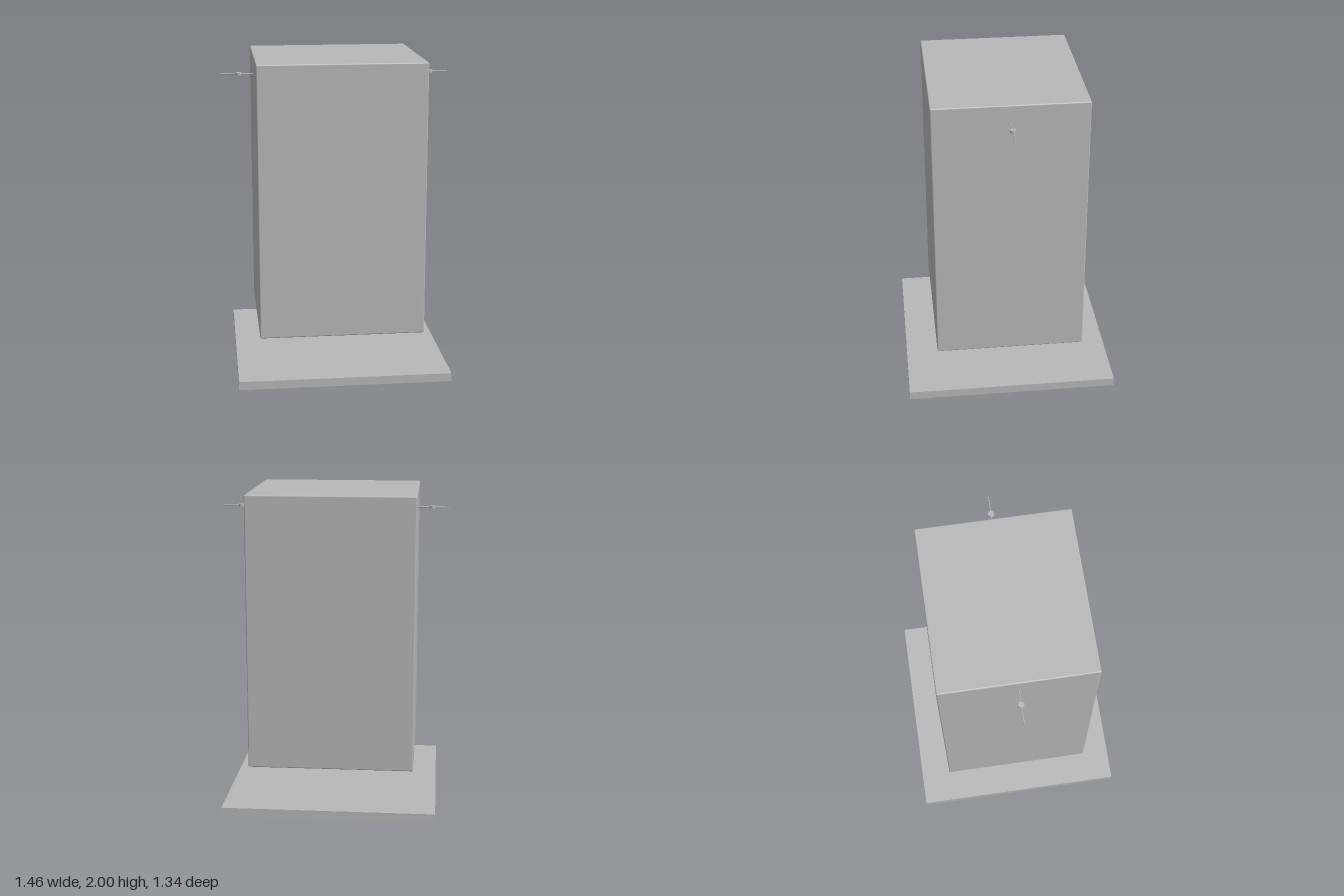
import * as THREE from 'three';
import { RoundedBoxGeometry } from 'three/addons/geometries/RoundedBoxGeometry.js';

export function createModel() {
  const model = new THREE.Group();
  model.name = 'boxOverPlate';
  const grey = new THREE.MeshStandardMaterial({ color: 0xb8b8b8 });
  grey.name = 'neutral grey';

  const add = (parent, name, geometry, x, y, z) => {
    const mesh = new THREE.Mesh(geometry, grey);
    mesh.name = name;
    mesh.position.set(x, y, z);
    parent.add(mesh);
    return mesh;
  };

  // Flat square plate on the ground
  add(model, 'basePlate', new THREE.BoxGeometry(1.342, 0.054, 1.342), 0, 0.027, 0);

  // Tall body floating above the plate, with slightly softened edges
  add(model, 'body', new RoundedBoxGeometry(1.052, 1.74, 0.952, 3, 0.008), 0, 1.13, 0);

  // Thin pin with a small disc on each side of the body
  for (const side of [1, -1]) {
    const pin = new THREE.Group();
    pin.name = side > 0 ? 'leftPin' : 'rightPin';
    const rod = add(pin, 'rod', new THREE.CylinderGeometry(0.003, 0.003, 0.212, 12), side * 0.626, 1.88, 0);
    rod.rotation.z = Math.PI / 2;
    add(pin, 'disc', new THREE.CylinderGeometry(0.019, 0.019, 0.016, 24), side * 0.616, 1.88, 0);
    model.add(pin);
  }

  return model;
}
